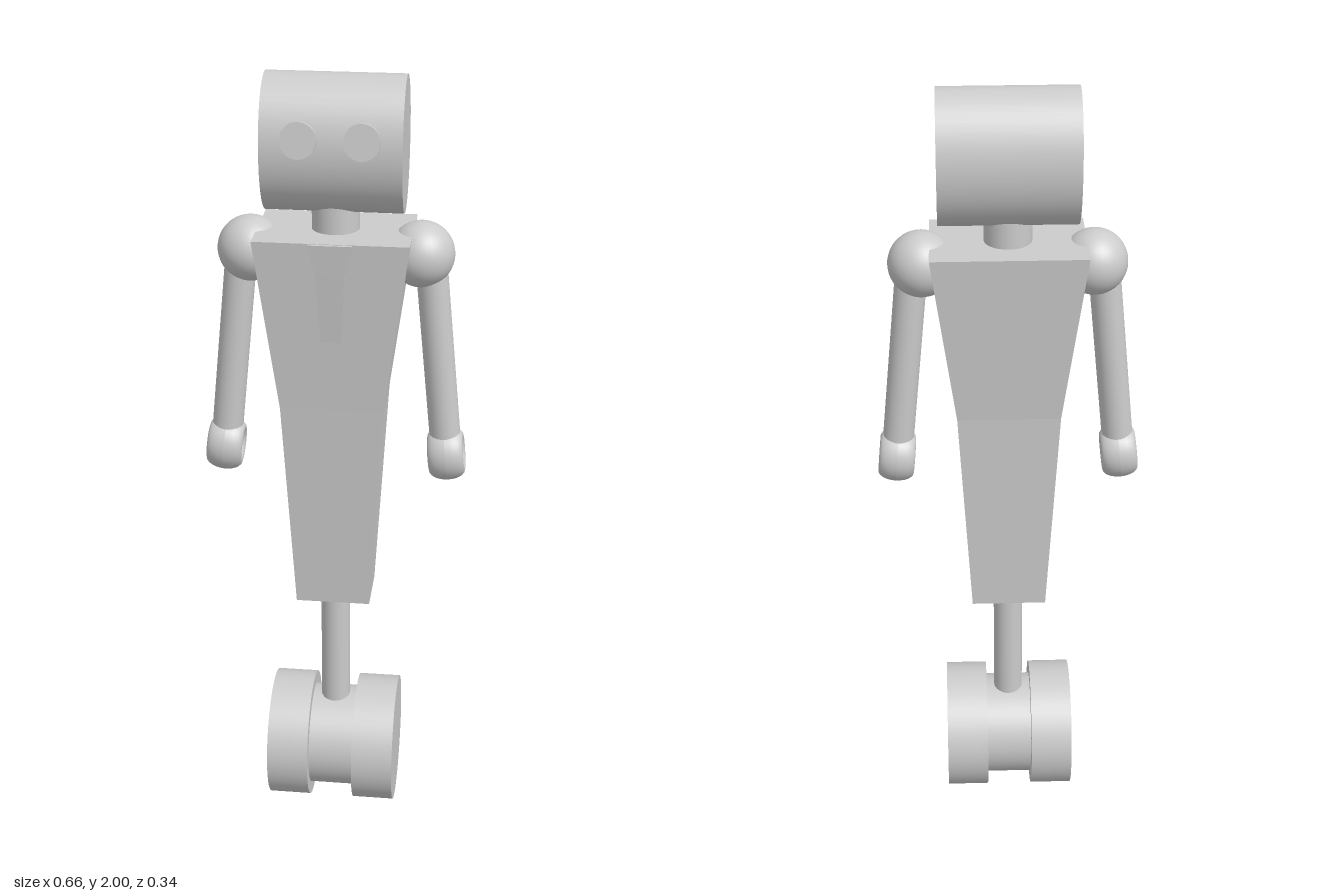
import * as THREE from 'three';

const smooth = new THREE.MeshStandardMaterial({ color: 0xcccccc });
const flat = new THREE.MeshStandardMaterial({ color: 0xcccccc, flatShading: true });

function add(parent, name, geometry, x = 0, y = 0, z = 0, material = smooth) {
  const mesh = new THREE.Mesh(geometry, material);
  mesh.name = name;
  mesh.position.set(x, y, z);
  parent.add(mesh);
  return mesh;
}

// cylinder lying along x
function axle(radius, length) {
  return new THREE.CylinderGeometry(radius, radius, length, 48).rotateZ(Math.PI / 2);
}

// box stretched through rectangular sections, top first: [y, half width, back z, front z]
function taperedBox(sections) {
  const n = sections.length - 1;
  const geo = new THREE.BoxGeometry(1, 1, 1, 1, n, 1);
  const p = geo.attributes.position;
  for (let i = 0; i < p.count; i++) {
    const [y, w, back, front] = sections[Math.round((0.5 - p.getY(i)) * n)];
    p.setXYZ(i, Math.sign(p.getX(i)) * w, y, p.getZ(i) > 0 ? front : back);
  }
  geo.computeVertexNormals();
  return geo;
}

// thick ring with its hole along x
function handRing() {
  const profile = [];
  for (let i = 0; i <= 24; i++) {
    const a = (i / 24) * Math.PI * 2;
    profile.push(new THREE.Vector2(0.041 + 0.021 * Math.cos(a), 0.045 * Math.sin(a)));
  }
  return new THREE.LatheGeometry(profile, 32).rotateZ(Math.PI / 2).scale(1, 1.12, 1);
}

export function createModel() {
  const model = new THREE.Group();
  model.name = 'robot';

  // head, eyes and neck
  add(model, 'head', axle(1, 0.334).scale(1, 0.165, 0.121), 0, 1.835, 0);
  add(model, 'neck', new THREE.CylinderGeometry(0.058, 0.058, 0.16, 32), 0, 1.64, 0);
  for (const side of [-1, 1]) {
    const eye = add(model, side > 0 ? 'leftEye' : 'rightEye',
      new THREE.CylinderGeometry(0.043, 0.043, 0.024, 32), side * 0.074, 1.87, 0.118);
    eye.rotation.x = Math.PI / 2 - 0.14;
  }

  // torso, narrowing in two steps, with a raised strip on the chest
  add(model, 'torso', taperedBox([
    [1.625, 0.188, -0.123, 0.128],
    [1.185, 0.128, -0.09, 0.098],
    [0.625, 0.095, -0.077, 0.07],
  ]), 0, 0, 0, flat);
  add(model, 'chestStrip', taperedBox([
    [1.624, 0.053, 0.08, 0.137],
    [1.545, 0.034, 0.08, 0.13],
    [1.46, 0.031, 0.08, 0.121],
    [1.37, 0.024, 0.08, 0.111],
  ]), 0, 0, 0, flat);

  // arms
  for (const side of [-1, 1]) {
    const arm = new THREE.Group();
    arm.name = side > 0 ? 'leftArm' : 'rightArm';
    arm.position.set(side * 0.208, 1.567, 0);
    add(arm, 'shoulder', new THREE.SphereGeometry(0.081, 32, 24));
    const limb = new THREE.Group();
    limb.name = 'limb';
    limb.position.x = side * 0.022;
    limb.rotation.z = side * 0.097;
    add(limb, 'forearm', new THREE.CylinderGeometry(0.039, 0.039, 0.49, 32), 0, -0.245, 0);
    add(limb, 'hand', handRing(), 0, -0.53, 0);
    arm.add(limb);
    model.add(arm);
  }

  // post and wheels
  add(model, 'post', new THREE.CylinderGeometry(0.038, 0.038, 0.4, 32), 0, 0.46, 0);
  add(model, 'hub', axle(0.135, 0.14), 0, 0.168, 0);
  for (const side of [-1, 1]) {
    add(model, side > 0 ? 'leftWheel' : 'rightWheel', axle(0.168, 0.108), side * 0.113, 0.168, 0);
  }
  return model;
}
